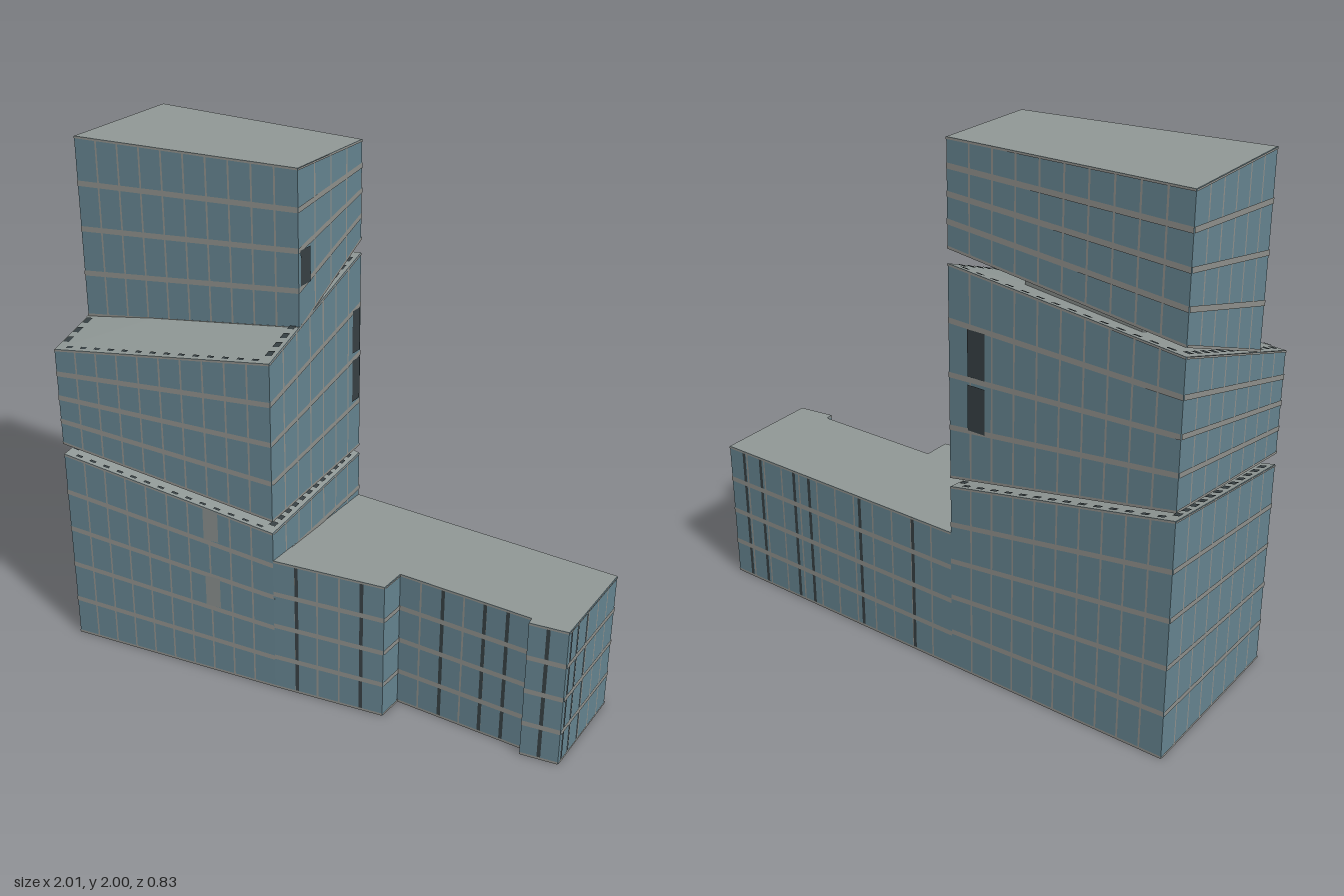
import * as THREE from 'three';

const mat = (name, color, side = THREE.FrontSide) => {
  const m = new THREE.MeshStandardMaterial({ color, side });
  m.name = name;
  return m;
};

export function createModel() {
  const mats = {
    glass: mat('blue grey glass', 0x64828e),
    frame: mat('grey frame', 0x8d8e8a),
    roof: mat('grey roof', 0x8f9795),
    panel: mat('grey panel', 0x858b89),
    dark: mat('dark recess', 0x363f42),
  };
  const model = new THREE.Group();
  model.name = 'building';
  const mix = THREE.MathUtils.lerp;

  // Collects quads and triangles for each material of one block
  const makeBlock = (name) => {
    const group = new THREE.Group();
    group.name = name;
    model.add(group);
    const faces = {};
    const tri = (part, key, ...pts) => {
      const f = (faces[part] ??= { key, pos: [] });
      pts.forEach((p) => f.pos.push(p[0], p[1], p[2]));
    };
    const quad = (part, key, a, b, c, d) => {
      tri(part, key, a, b, c);
      tri(part, key, a, c, d);
    };
    const finish = () => {
      for (const [part, { key, pos }] of Object.entries(faces)) {
        const g = new THREE.BufferGeometry();
        g.setAttribute('position', new THREE.Float32BufferAttribute(pos, 3));
        g.computeVertexNormals();
        const mesh = new THREE.Mesh(g, mats[key]);
        mesh.name = part;
        group.add(mesh);
      }
    };
    return { tri, quad, finish };
  };

  // Wall from p to q; corners are [x, z, bottom, top]
  const wall = (b, p, q, floors, { slots = [], panels = [] } = {}) => {
    const dx = q[0] - p[0], dz = q[1] - p[1], len = Math.hypot(dx, dz);
    const at = (t, y, off) => [mix(p[0], q[0], t) - (dz / len) * off, y, mix(p[1], q[1], t) + (dx / len) * off];
    const level = (t, v) => mix(mix(p[2], q[2], t), mix(p[3], q[3], t), v);
    // Strip between two positions along the wall and two floor fractions
    const strip = (part, key, t0, t1, v0, v1, off, lo = 0, hi = 0) => b.quad(part, key,
      at(t0, level(t0, v0) - lo, off), at(t1, level(t1, v0) - lo, off),
      at(t1, level(t1, v1) + hi, off), at(t0, level(t0, v1) + hi, off));

    strip('glassWalls', 'glass', 0, 1, 0, 1, 0);
    const n = Math.max(1, Math.round(len / 0.09)), w = 0.0035 / len;
    for (let i = 1; i < n; i++) strip('mullions', 'frame', i / n - w, i / n + w, 0, 1, 0.001);
    for (const t of slots) strip('darkSlots', 'dark', t - 0.007 / len, t + 0.007 / len, 0, 1, 0.002);
    for (let k = 1; k < floors; k++) strip('floorBands', 'frame', 0, 1, k / floors, k / floors, 0.003, 0.01, 0.01);
    strip('bottomTrim', 'frame', 0, 1, 0, 0, 0.003, 0, 0.01);
    strip('topTrim', 'frame', 0, 1, 1, 1, 0.003, 0.007, 0);
    for (const [t0, t1, y0, y1, key] of panels) {
      b.quad('wallPanels', key, at(t0, y0, 0.004), at(t1, y0, 0.004), at(t1, y1, 0.004), at(t0, y1, 0.004));
    }
  };

  // Prism with glazed walls and sloping top and bottom
  const prism = (name, ring, floors, details = {}, skip = -1) => {
    const b = makeBlock(name);
    ring.forEach((p, i) => {
      if (i !== skip) wall(b, p, ring[(i + 1) % ring.length], floors, details[i]);
    });
    const outline = ring.map((p) => new THREE.Vector2(p[0], -p[1]));
    for (const f of THREE.ShapeUtils.triangulateShape(outline, [])) {
      const [i, j, k] = f.map((n) => ring[n]);
      const v = (p, h) => [p[0], p[h], p[1]];
      b.tri('roof', 'roof', v(i, 3), v(j, 3), v(k, 3));
      b.tri('underside', 'roof', v(k, 2), v(j, 2), v(i, 2));
    }
    return b;
  };

  // Dark vents around the edge of a four-cornered sloping roof
  const roofVents = (b, [D, C, B, A]) => {
    const at = (u, v) => [0, 3, 1].map((h, i) =>
      mix(mix(D[h], C[h], u), mix(A[h], B[h], u), v) + (i === 1 ? 0.004 : 0));
    const vent = (u, v, du, dv) => b.quad('roofVents', 'dark',
      at(u - du, v - dv), at(u + du, v - dv), at(u + du, v + dv), at(u - du, v + dv));
    for (let i = 1; i < 15; i++) {
      vent(i / 15, 0.018, 0.014, 0.008);
      vent(i / 15, 0.975, 0.016, 0.014);
    }
    for (let i = 1; i < 13; i++) {
      vent(0.025, i / 13, 0.014, 0.021);
      vent(0.972, i / 13, 0.014, 0.021);
    }
  };

  // Tower plan: front left, front right, back right, back left
  const plan = [[-0.955, 0.41], [-0.09, 0.235], [-0.12, -0.35], [-1, -0.295]];
  const upperPlan = [[-0.965, 0.215], [-0.1, 0.05], plan[2], plan[3]];
  const ringOf = (pts, lows, highs) => pts.map((p, i) => [...p, lows[i], highs[i]]);

  const base = ringOf(plan, [0, 0, 0, 0], [0.815, 0.685, 0.755, 0.925]);
  const baseBlock = prism('towerBase', base, 5, {
    0: { panels: [[0.675, 0.745, 0.59, 0.72, 'panel'], [0.675, 0.745, 0.3, 0.43, 'panel']] },
  });
  roofVents(baseBlock, base);
  baseBlock.finish();

  const middle = ringOf(plan, [0.86, 0.735, 0.79, 0.955], [1.25, 1.36, 1.58, 1.485]);
  const cornerWindows = (t0, t1) => ({ panels: [[t0, t1, 1.0, 1.17, 'dark'], [t0, t1, 1.2, 1.37, 'dark']] });
  const middleBlock = prism('towerMiddle', middle, 4, {
    1: cornerWindows(0.9, 0.985),
    2: cornerWindows(0.09, 0.17),
  });
  roofVents(middleBlock, middle);
  middleBlock.finish();

  const upper = ringOf(upperPlan, [1.315, 1.42, 1.632, 1.515], [2, 2, 2, 2]);
  prism('towerTop', upper, 4, {
    1: { panels: [[0.02, 0.1, 1.58, 1.71, 'dark'], [0.1, 0.17, 1.58, 1.71, 'panel']] },
  }).finish();

  // Recessed core joining the tilted blocks
  const core = new THREE.Mesh(new THREE.BoxGeometry(0.46, 0.95, 0.2), mats.panel);
  core.name = 'towerCore';
  core.position.set(-0.55, 1.15, -0.1);
  model.add(core);

  // Low wing with a stepped front
  const wingPlan = [plan[1], [0.338, 0.14], [0.335, 0.035], [0.855, 0], [0.86, 0.03], [1, 0], [0.973, -0.415], plan[2]];
  prism('lowWing', wingPlan.map((p) => [...p, 0, 0.568]), 4, {
    0: { slots: [0.21, 0.8] },
    2: { slots: [0.34, 0.66, 0.83] },
    4: { slots: [0.5] },
    5: { slots: [0.05, 0.18, 0.37] },
    6: { slots: [0.07, 0.15, 0.31, 0.38, 0.61, 0.84] },
  }, 7).finish();

  return model;
}
